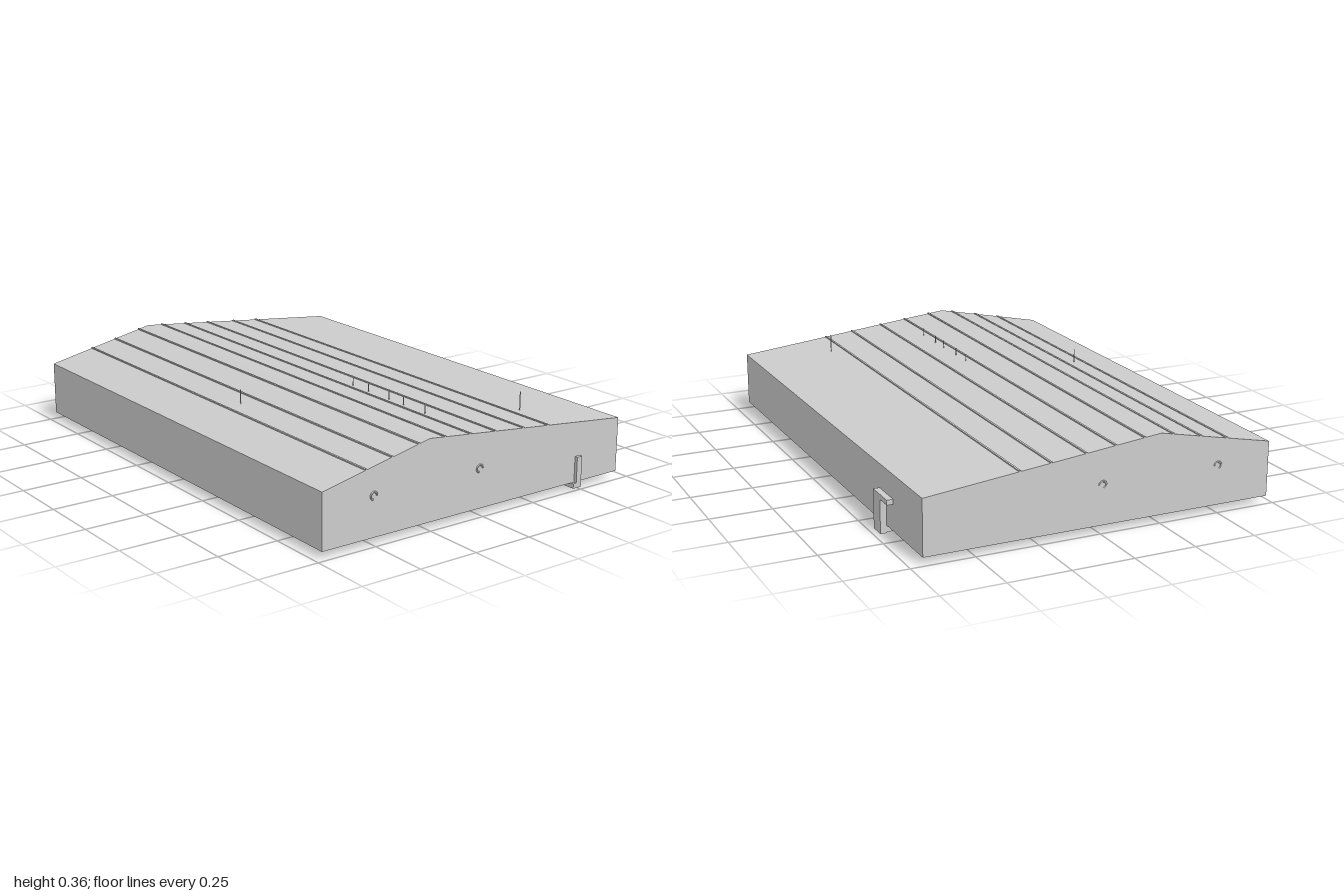
import * as THREE from 'three';

const mat = new THREE.MeshStandardMaterial({ color: 0xcccccc, flatShading: true });
const X0 = -0.993, X1 = 0.987, ZF = 0.725, ZB = -0.70, ZR = 0.25;

// Roof height at a given z
const roofY = (z) => z > ZR
  ? 0.25 + 0.1 * (ZF - z) / (ZF - ZR)
  : 0.25 + 0.1 * (z - ZB) / (ZR - ZB);

export function createModel() {
  const model = new THREE.Group();

  function add(name, geometry) {
    const mesh = new THREE.Mesh(geometry, mat);
    mesh.name = name;
    model.add(mesh);
    return mesh;
  }
  // Box given by its minimum and maximum corners
  function box(name, x0, x1, y0, y1, z0, z1) {
    const m = add(name, new THREE.BoxGeometry(x1 - x0, y1 - y0, z1 - z0));
    m.position.set((x0 + x1) / 2, (y0 + y1) / 2, (z0 + z1) / 2);
    return m;
  }

  // Main block: gabled side profile extruded along x
  const profile = new THREE.Shape([
    [-ZF, 0.03], [-ZB, 0.03], [-ZB, 0.25], [-ZR, 0.35], [-ZF, 0.25],
  ].map(([x, y]) => new THREE.Vector2(x, y)));
  const body = add('body', new THREE.ExtrudeGeometry(profile, { depth: X1 - X0, bevelEnabled: false }));
  body.rotation.y = Math.PI / 2;
  body.position.x = X0;

  // Thin seams running across the roof
  for (const z of [0.535, 0.42, 0.30, 0.18, 0.06, -0.06, -0.20, -0.325]) {
    const y = roofY(z);
    box('roofSeam', X0, X1, y - 0.006, y + 0.004, z - 0.004, z + 0.004);
  }

  // Small upright pins on the roof
  const pins = [[0.24, 0.03], [0.34, 0.03], [0.47, 0.03], [0.56, 0.03], [0.69, 0.03],
    [0.77, -0.38], [0.11, 0.48]];
  for (const [x, z] of pins) {
    const base = roofY(z) - 0.01;
    const pin = add('roofPin', new THREE.CylinderGeometry(0.002, 0.002, 0.358 - base, 6));
    pin.position.set(x, (0.358 + base) / 2, z);
  }

  // Small hooks on both side walls
  for (const x of [X0, X1]) {
    for (const z of [0.01, 0.5]) {
      const hook = add('sideHook', new THREE.TorusGeometry(0.014, 0.004, 6, 14, Math.PI * 1.4));
      hook.rotation.set(0, Math.PI / 2, 0);
      hook.position.set(x, 0.187, z);
    }
  }

  // Side bracket: rail under the floor turning up the side wall
  box('sideBracketRail', 0.33, 1.0, 0.01, 0.03, -0.50, -0.46);
  box('sideBracketUpright', X1, 1.0, 0.01, 0.135, -0.50, -0.475);

  // Rear bracket: L-shaped rail, upright and flange behind the back wall
  box('rearBracketRail', -0.66, 0.13, 0.004, 0.03, -0.46, -0.418);
  box('rearBracketArm', -0.66, -0.595, 0.004, 0.03, -0.725, -0.46);
  box('rearBracketUpright', -0.66, -0.595, 0, 0.155, -0.725, ZB);
  box('rearBracketFlange', -0.727, -0.66, 0.135, 0.155, -0.725, ZB);

  return model;
}
